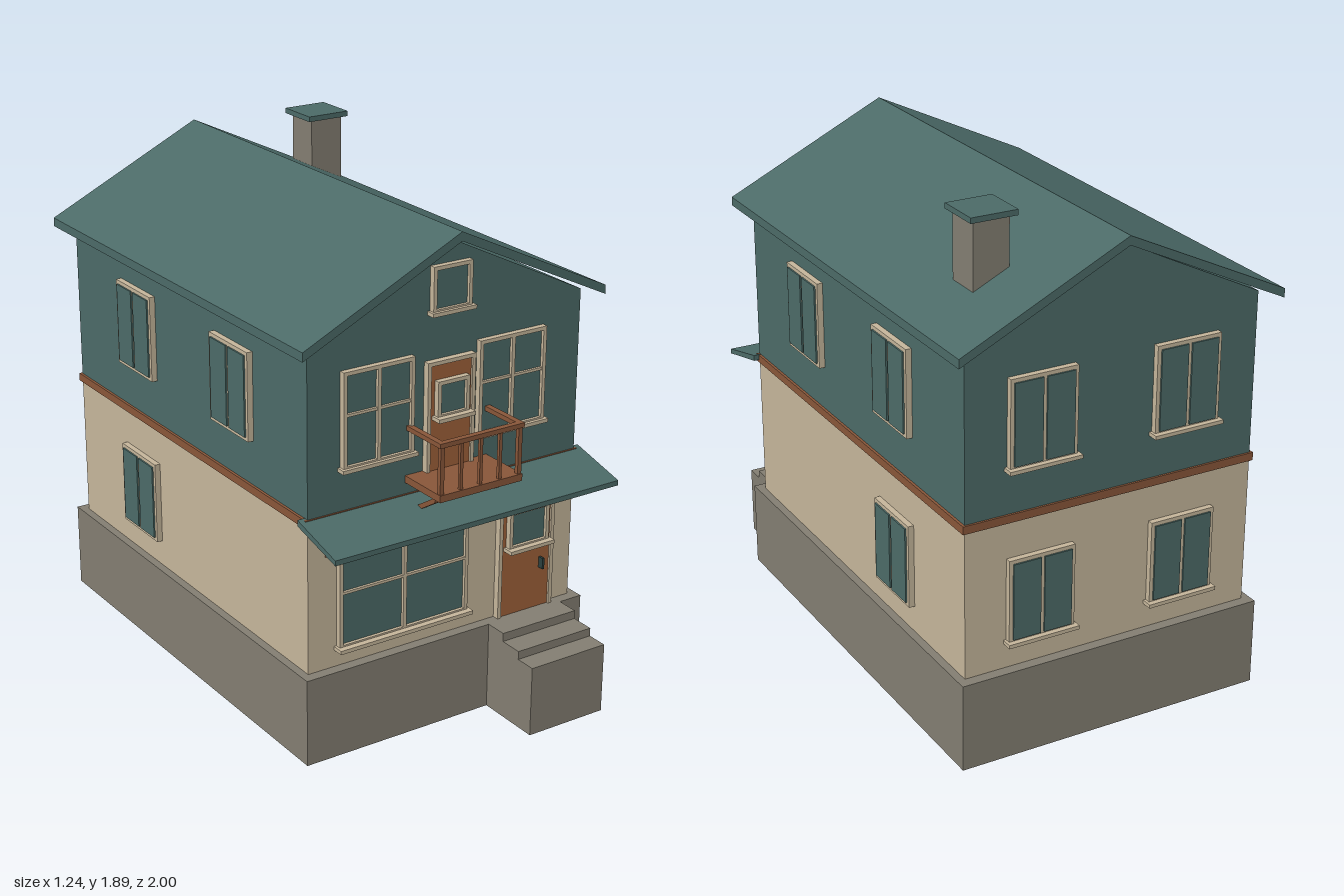
import * as THREE from 'three';

const mat = (name, color) => Object.assign(new THREE.MeshStandardMaterial({ color }), { name });

export function createModel() {
  const teal = mat('teal', 0x4b6a67), cream = mat('cream', 0xc4b59a), stone = mat('stone', 0x827d71);
  const orange = mat('doorWood', 0x9f6139), brown = mat('trimWood', 0x885639), dark = mat('darkIron', 0x2b3f3e);
  const house = new THREE.Group();
  house.name = 'house';

  // box given by its extents
  const box = (parent, name, m, x0, x1, y0, y1, z0, z1) => {
    const mesh = new THREE.Mesh(new THREE.BoxGeometry(x1 - x0, y1 - y0, z1 - z0), m);
    mesh.position.set((x0 + x1) / 2, (y0 + y1) / 2, (z0 + z1) / 2);
    mesh.name = name;
    parent.add(mesh);
    return mesh;
  };
  // outline extruded along z from z0 to z1
  const prism = (parent, name, m, pts, z0, z1) => {
    const shape = new THREE.Shape(pts.map(p => new THREE.Vector2(...p)));
    const geo = new THREE.ExtrudeGeometry(shape, { depth: z1 - z0, bevelEnabled: false });
    geo.translate(0, 0, z0);
    const mesh = new THREE.Mesh(geo, m);
    mesh.name = name;
    parent.add(mesh);
    return mesh;
  };
  // (z, y) profile extruded across x
  const sideProfile = (parent, name, m, pts, x0, x1) => {
    const mesh = prism(parent, name, m, pts.map(([z, y]) => [-z, y]), x0, x1);
    mesh.rotation.y = Math.PI / 2;
    return mesh;
  };
  // sloping bar between two (z, y) points
  const brace = (parent, name, m, x, w, z0, y0, z1, y1, t) =>
    sideProfile(parent, name, m, [[z0, y0], [z1, y1], [z1, y1 + t], [z0, y0 + t]], x - w / 2, x + w / 2);

  // framed window facing +z, optional cross bar and sill
  const makeWindow = (name, w, h, { bar = 0, cross = null, sill = 0, f = 0.014, proud = false } = {}) => {
    const g = new THREE.Group();
    g.name = name;
    const a = w / 2, b = h / 2, d = 0.022;
    for (const s of [-1, 1]) {
      box(g, 'frameSide', cream, s * (a - f / 2) - f / 2, s * (a - f / 2) + f / 2, -b, b, 0, d);
      box(g, 'frameRail', cream, -a + f, a - f, s * (b - f / 2) - f / 2, s * (b - f / 2) + f / 2, 0, d);
    }
    if (bar) box(g, 'mullion', cream, -0.007, 0.007, -b + f, b - f, 0, d);
    if (cross !== null) box(g, 'crossBar', cream, -a + f, a - f, cross - 0.005, cross + 0.005, 0, d - 0.002);
    if (sill) box(g, 'sill', cream, -a - 0.01, a + 0.01, -b - 0.006, -b + 0.008, 0, sill);
    const depth = proud ? 0.028 : 0.01;
    if (bar) {
      box(g, 'pane', teal, -a + f, -0.007, -b + f, b - f, 0, depth);
      box(g, 'pane', teal, 0.007, a - f, -b + f, b - f, 0, depth);
    } else box(g, 'pane', teal, -a + f, a - f, -b + f, b - f, 0, depth);
    house.add(g);
    return g;
  };
  const FRONT = 0.705, BACK = -0.93, SIDE = 0.565;

  // foundation and steps
  box(house, 'foundation', stone, -0.595, 0.595, 0, 0.33, -0.97, 0.745);
  sideProfile(house, 'frontSteps', stone,
    [[0.74, 0], [1, 0], [1, 0.267], [0.92, 0.267], [0.92, 0.298], [0.83, 0.298], [0.83, 0.33], [0.74, 0.33]], 0.175, 0.5);

  // walls
  box(house, 'lowerWalls', cream, -SIDE, SIDE, 0.33, 0.89, BACK, FRONT);
  prism(house, 'upperWalls', teal, [[-SIDE, 0.89], [SIDE, 0.89], [SIDE, 1.512], [0, 1.79], [-SIDE, 1.512]], BACK, FRONT);
  box(house, 'floorBand', brown, -0.575, 0.575, 0.88, 0.91, -0.938, 0.71);

  // roof
  prism(house, 'roof', teal,
    [[-0.622, 1.5], [0, 1.797], [0.622, 1.5], [0.622, 1.533], [0, 1.83], [-0.622, 1.533]], -1, 0.77);

  // chimney
  box(house, 'chimney', stone, 0.29, 0.425, 1.6, 1.87, -0.735, -0.6);
  box(house, 'chimneyCap', teal, 0.27, 0.445, 1.87, 1.89, -0.757, -0.585);

  // awning with wall beam and struts
  sideProfile(house, 'awning', teal, [[0.69, 0.89], [0.92, 0.836], [0.92, 0.855], [0.69, 0.912]], -0.595, 0.595);
  box(house, 'awningBeam', brown, -0.52, 0.52, 0.81, 0.86, FRONT, 0.725);
  for (const s of [-1, 1]) brace(house, 'awningStrut', brown, s * 0.485, 0.02, FRONT, 0.755, 0.87, 0.838, 0.018);

  // front windows
  makeWindow('shopWindow', 0.54, 0.39, { bar: 1, cross: 0.015, sill: 0.045 }).position.set(-0.18, 0.595, FRONT);
  for (const s of [-1, 1])
    makeWindow('upperFrontWindow', 0.285, 0.35, { bar: 1, cross: 0.02, sill: 0.035 })
      .position.set(s < 0 ? -0.293 : 0.262, 1.237, FRONT);
  makeWindow('atticWindow', 0.16, 0.165, { sill: 0.035 }).position.set(0, 1.627, FRONT);

  // doors: casing, leaf and small window
  const door = (name, x0, x1, y0, y1, f, win) => {
    const g = new THREE.Group();
    g.name = name;
    box(g, 'casingLeft', cream, x1, x1 + f, y0, y1 + f, FRONT, 0.73);
    box(g, 'casingRight', cream, x0 - f, x0, y0, y1 + f, FRONT, 0.73);
    box(g, 'casingTop', cream, x0, x1, y1, y1 + f, FRONT, 0.73);
    box(g, 'leaf', orange, x0, x1, y0, y1, FRONT, 0.722);
    house.add(g);
    const [cx, cy, w, h] = win;
    makeWindow(name + 'Window', w, h, { sill: 0.045 }).position.set(cx, cy, 0.722);
  };
  door('frontDoor', 0.24, 0.455, 0.33, 0.79, 0.015, [0.347, 0.67, 0.175, 0.15]);
  door('balconyDoor', -0.085, 0.085, 0.97, 1.362, 0.014, [0, 1.24, 0.132, 0.135]);
  box(house, 'doorHandle', dark, 0.41, 0.419, 0.485, 0.527, 0.72, 0.745);

  // side and back windows
  for (const s of [-1, 1]) {
    for (const [z, y, h] of [[0.237, 1.238, 0.325], [-0.443, 1.238, 0.325], [-0.443, 0.588, 0.315]]) {
      const w = makeWindow('sideWindow', 0.255, h, { bar: 1, proud: true });
      w.position.set(s * SIDE, y, z);
      w.rotation.y = s * Math.PI / 2;
    }
    for (const [y, h] of [[1.238, 0.325], [0.588, 0.315]]) {
      const w = makeWindow('backWindow', 0.255, h, { bar: 1, proud: true, sill: 0.042 });
      w.position.set(s * 0.28, y, BACK);
      w.rotation.y = Math.PI;
    }
  }

  // balcony
  const balcony = new THREE.Group();
  balcony.name = 'balcony';
  house.add(balcony);
  box(balcony, 'balconyFloor', brown, -0.172, 0.172, 0.952, 0.978, FRONT, 0.91);
  box(balcony, 'frontRail', brown, -0.175, 0.175, 1.148, 1.165, 0.888, 0.91);
  for (const s of [-1, 1]) {
    box(balcony, 'sideRail', brown, s * 0.164 - 0.011, s * 0.164 + 0.011, 1.148, 1.165, FRONT, 0.888);
    box(balcony, 'cornerPost', brown, s * 0.162 - 0.008, s * 0.162 + 0.008, 0.978, 1.148, 0.89, 0.906);
    brace(balcony, 'balconyBracket', brown, s * 0.155, 0.02, FRONT, 0.83, 0.87, 0.935, 0.02);
  }
  for (const x of [-0.081, 0, 0.081])
    box(balcony, 'baluster', brown, x - 0.006, x + 0.006, 0.978, 1.148, 0.892, 0.904);

  return house;
}
